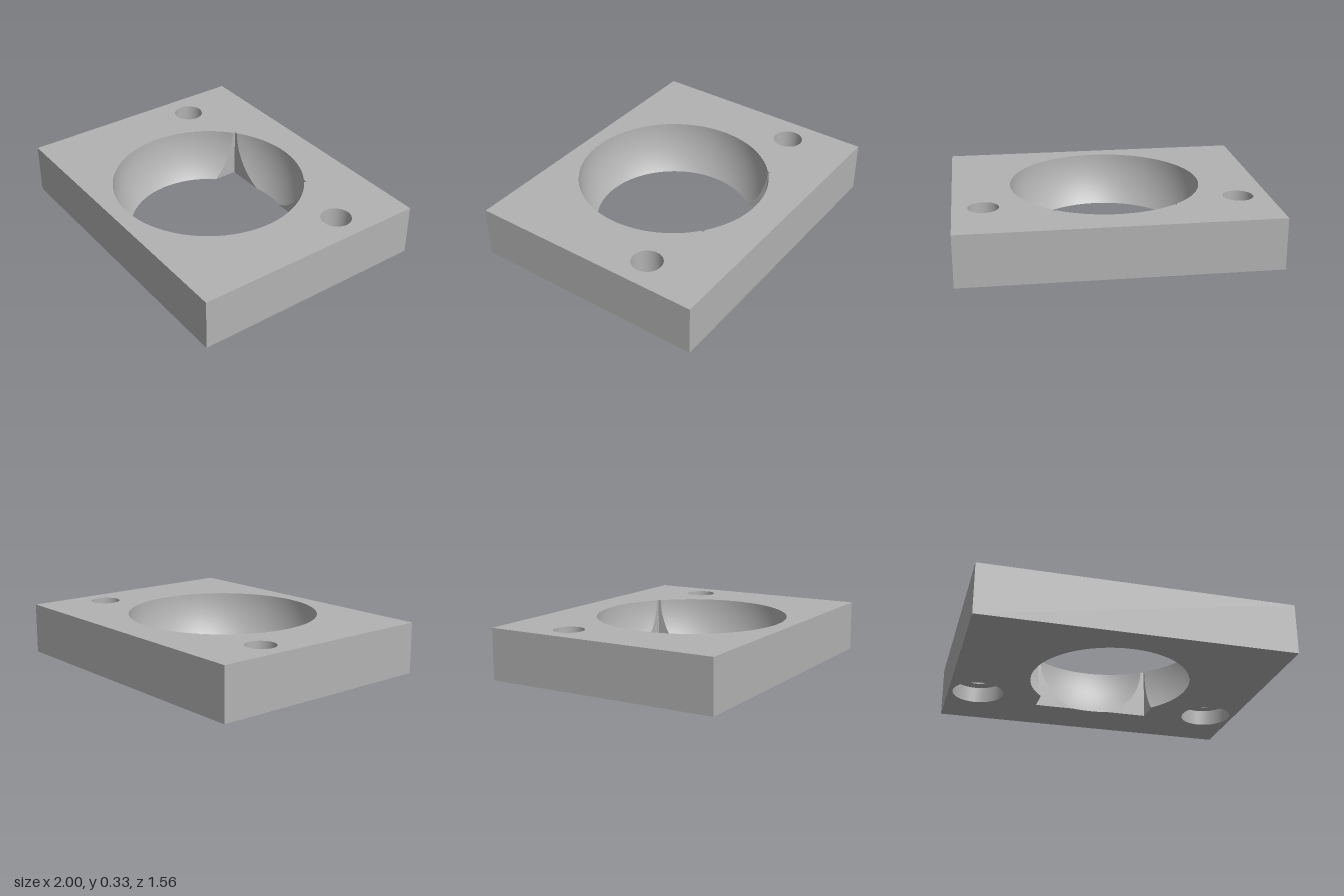
import * as THREE from 'three';

const W = 1, D = 0.778, H = 0.333;                  // half width, half depth, height
const CZ = 0.055, R = 0.621, CY = 0.345;            // spherical seat: centre z, radius, centre height
const NX = 0.388, NB = 0.502;                       // notch half width, reach behind the seat centre
const HX = 0.805, HZ = -0.337, HR = 0.097, BR = 0.168, BH = 0.105; // bolt holes and counterbores
const ROWS = 24;

// Points [x, z] on an arc about (cx, cz); a decreasing angle runs clockwise seen from above
function arc(cx, cz, r, from, to, n) {
  return Array.from({ length: n + 1 }, (_, i) => {
    const a = from + (to - from) * i / n;
    return [cx + r * Math.cos(a), cz - r * Math.sin(a)];
  });
}
const circle = (x, z, r) => arc(x, z, r, Math.PI * 2, 0, 48);

// The opening at height y: seat arc, notch side, notch back, rear seat arc, notch back, notch side
function opening(y) {
  const r = Math.sqrt(R * R - (y - CY) ** 2);
  const a1 = Math.acos(NX / r), a2 = Math.asin(NB / r);
  const front = arc(0, CZ, r, a1, -Math.PI - a1, 96);
  const rear = arc(0, CZ, r, Math.PI - a2, a2, 24);
  const left = [-NX, CZ - NB], right = [NX, CZ - NB];
  return [front, [front[96], left], [left, rear[0]], rear, [rear[24], right], [right, front[0]]];
}

// Skin stacked rows of [x, y, z] points, lowest row first
function loft(rows) {
  const n = rows[0].length, index = [];
  for (let j = 0; j < rows.length - 1; j++) {
    for (let i = 0; i < n - 1; i++) {
      const a = j * n + i, d = a + n;
      index.push(a, a + 1, d + 1, a, d + 1, d);
    }
  }
  const g = new THREE.BufferGeometry();
  g.setAttribute('position', new THREE.Float32BufferAttribute(rows.flat(2), 3));
  g.setIndex(index);
  g.computeVertexNormals();
  return g;
}
const lift = (pts, y) => pts.map(([x, z]) => [x, y, z]);

// Horizontal face with holes, at height y, facing up (dir 1) or down (dir -1)
function face(outline, holes, y, dir) {
  const vec = pts => pts.map(([x, z]) => new THREE.Vector2(x, -dir * z));
  const shape = new THREE.Shape(vec(outline));
  holes.forEach(h => shape.holes.push(new THREE.Path(vec(h))));
  return new THREE.ShapeGeometry(shape).rotateX(-dir * Math.PI / 2).translate(0, y, 0);
}
// Join the opening's segments into one loop without repeated corners
const loop = y => opening(y).flatMap(s => s.slice(0, -1));
const ring = (x, r) => circle(x, HZ, r).slice(0, -1);

export function createModel() {
  const model = new THREE.Group();
  model.name = 'mountingPlate';
  const grey = new THREE.MeshStandardMaterial({ color: 0xb2b2b2 });
  grey.name = 'plain grey';
  const add = (name, geometry) => {
    const mesh = new THREE.Mesh(geometry, grey);
    mesh.name = name;
    model.add(mesh);
  };

  // Plate faces
  const rect = [[-W, D], [W, D], [W, -D], [-W, -D]];
  add('topFace', face(rect, [loop(H), ring(HX, HR), ring(-HX, HR)], H, 1));
  add('bottomFace', face(rect, [loop(0), ring(HX, BR), ring(-HX, BR)], 0, -1));
  rect.forEach((p, i) => {
    const edge = [p, rect[(i + 1) % 4]];
    add(['frontSide', 'leftSide', 'backSide', 'rightSide'][i], loft([lift(edge, 0), lift(edge, H)]));
  });

  // Spherical seat and the notch cut through its rear
  const heights = Array.from({ length: ROWS + 1 }, (_, j) => H * j / ROWS);
  const sections = heights.map(opening);
  ['seatWall', 'notchRightWall', 'notchBackRight', 'seatRearWall', 'notchBackLeft', 'notchLeftWall']
    .forEach((name, k) => add(name, loft(sections.map((s, j) => lift(s[k], heights[j])))));

  // Bolt holes with counterbores from below
  for (const [side, x] of [['left', HX], ['right', -HX]]) {
    const bore = circle(x, HZ, HR), wide = circle(x, HZ, BR);
    add(side + 'BoltHole', loft([lift(bore, BH), lift(bore, H)]));
    add(side + 'Counterbore', loft([lift(wide, 0), lift(wide, BH)]));
    add(side + 'CounterboreLedge', face(ring(x, BR), [ring(x, HR)], BH, -1));
  }
  return model;
}
